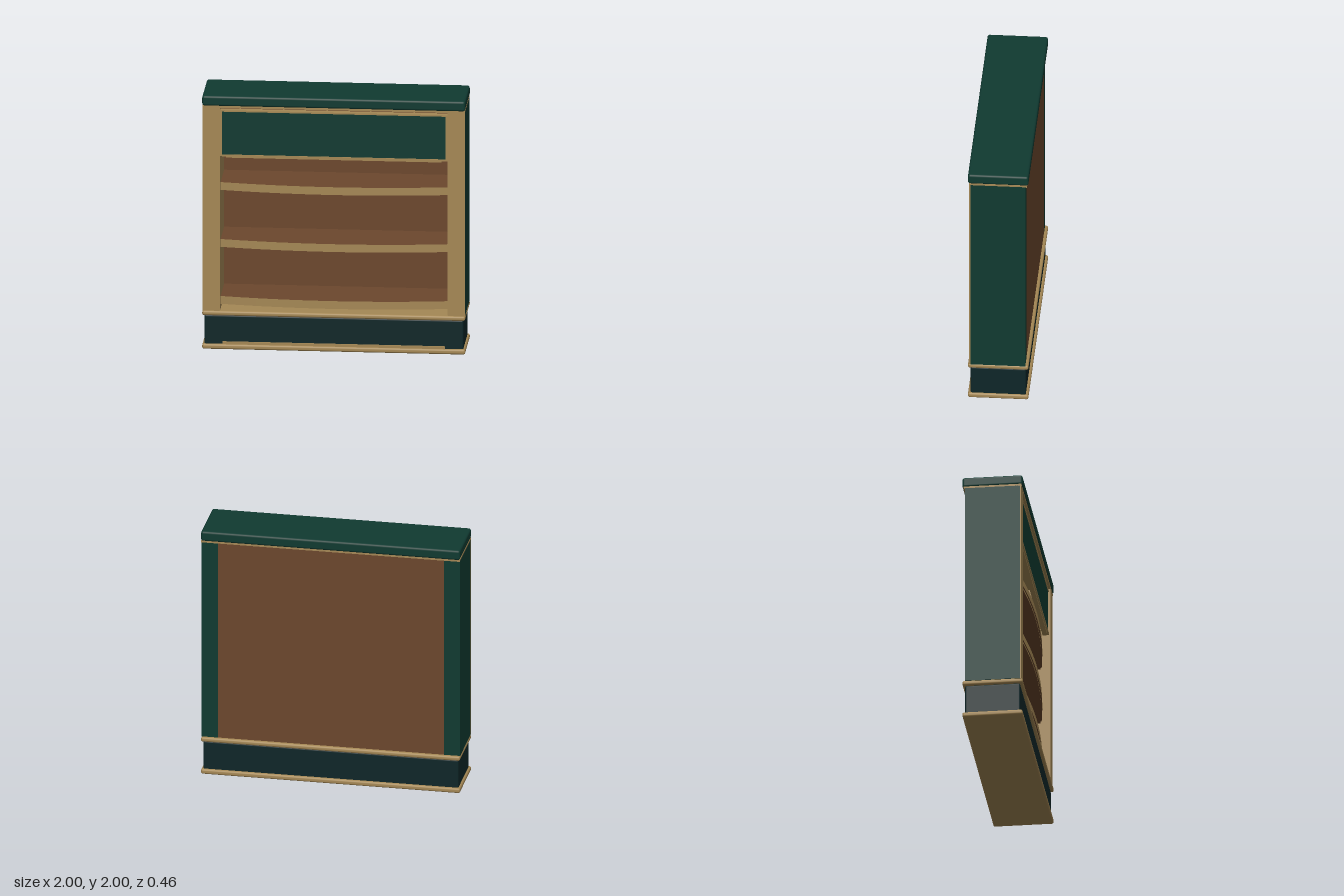
import * as THREE from 'three';
import { RoundedBoxGeometry } from 'three/addons/geometries/RoundedBoxGeometry.js';

const material = (name, color) => {
  const m = new THREE.MeshStandardMaterial({ color });
  m.name = name;
  return m;
};

export function createModel() {
  const green = material('dark green', 0x103a31);
  const gold = material('antique gold', 0xa58855);
  const brown = material('brown wood', 0x6c472d);
  const navy = material('deep teal', 0x0e2628);

  const model = new THREE.Group();
  model.name = 'displayCabinet';

  const add = (name, geometry, mat) => {
    const mesh = new THREE.Mesh(geometry, mat);
    mesh.name = name;
    model.add(mesh);
    return mesh;
  };

  // Box given by its limits on each axis; a radius rounds its edges
  const block = (name, mat, [x0, x1], [y0, y1], [z0, z1], radius = 0) => {
    const size = [x1 - x0, y1 - y0, z1 - z0];
    const geometry = radius
      ? new RoundedBoxGeometry(...size, 3, radius)
      : new THREE.BoxGeometry(...size);
    add(name, geometry, mat).position.set((x0 + x1) / 2, (y0 + y1) / 2, (z0 + z1) / 2);
  };

  // Plinth with its rounded trims
  block('bottomTrim', gold, [-1, 1], [0, 0.04], [-0.23, 0.23], 0.015);
  block('plinth', navy, [-0.985, 0.985], [0.03, 0.265], [-0.21, 0.21], 0.012);
  block('plinthStrip', gold, [-0.845, 0.845], [0.038, 0.06], [0.208, 0.22]);
  block('middleTrim', gold, [-1, 1], [0.265, 0.302], [-0.23, 0.23], 0.015);

  // Side posts with gold front and inner facings
  for (const side of [-1, 1]) {
    const span = (a, b) => (side > 0 ? [a, b] : [-b, -a]);
    block('sidePost', green, span(0.872, 0.998), [0.3, 1.91], [-0.207, 0.21]);
    block('postFront', gold, span(0.868, 0.998), [0.3, 1.91], [0.21, 0.219]);
    block('innerWall', gold, span(0.865, 0.872), [0.3, 1.91], [-0.18, 0.21]);
  }

  // Back panel
  block('backPanel', brown, [-0.872, 0.872], [0.3, 1.91], [-0.206, -0.18]);

  // Top cap and the trim beneath it
  block('capTrim', gold, [-0.998, 0.998], [1.907, 1.925], [-0.22, 0.222]);
  block('topCap', green, [-1, 1], [1.92, 2], [-0.23, 0.23], 0.018);

  // Header board in a thin gold frame
  block('headerBoard', green, [-0.85, 0.85], [1.535, 1.873], [0.16, 0.205]);
  block('headerFrameTop', gold, [-0.865, 0.865], [1.873, 1.885], [0.16, 0.21]);
  block('headerFrameBottom', gold, [-0.865, 0.865], [1.521, 1.535], [0.16, 0.21]);
  for (const x of [-0.8575, 0.8575]) {
    block('headerFrameSide', gold, [x - 0.0075, x + 0.0075], [1.535, 1.873], [0.16, 0.21]);
  }
  block('headerStrip', gold, [-0.82, 0.82], [1.508, 1.521], [0.18, 0.2]);

  // Shelf outline: straight back, front bowed outwards
  const bowedSlab = (height, inset) => {
    const halfWidth = 0.865;
    const shape = new THREE.Shape();
    shape.moveTo(-halfWidth, 0.18);
    for (let i = 0; i <= 32; i++) {
      const t = (i / 32) * 2 - 1;
      shape.lineTo(t * halfWidth, -(0.223 - 0.07 * t * t - inset));
    }
    shape.lineTo(halfWidth, 0.18);
    const geometry = new THREE.ExtrudeGeometry(shape, { depth: height, bevelEnabled: false });
    return geometry.rotateX(-Math.PI / 2);
  };

  // Three shelves, each with a slim lip below
  for (const y of [0.35, 0.8, 1.25]) {
    add('shelf', bowedSlab(0.05, 0), [brown, gold]).position.y = y;
    add('shelfLip', bowedSlab(0.014, 0.008), [brown, gold]).position.y = y - 0.014;
  }

  return model;
}
